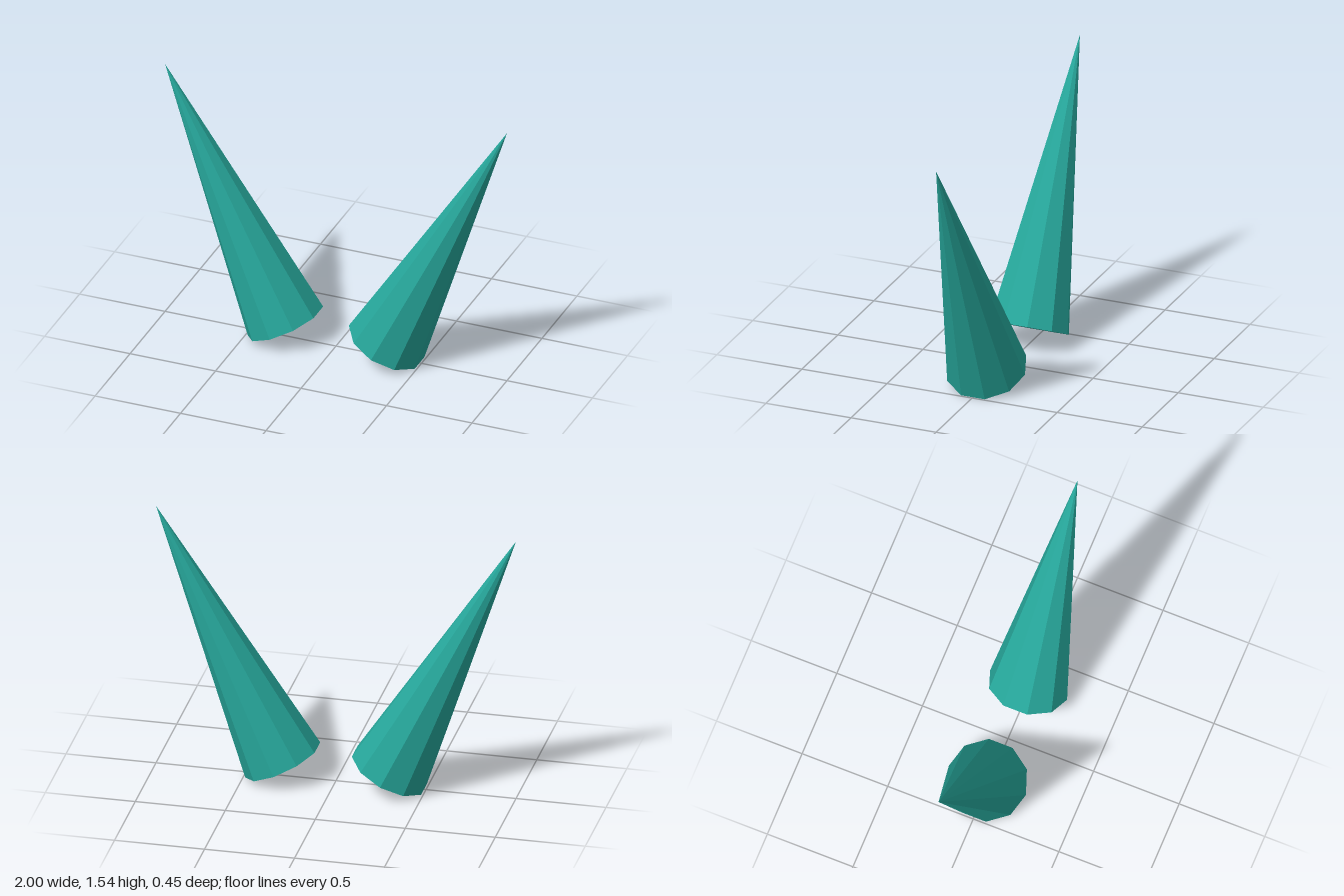
import * as THREE from 'three';

export function createModel() {
  const model = new THREE.Group();
  const material = new THREE.MeshStandardMaterial({ color: 0x26a69a, flatShading: true });

  const base = new THREE.Vector2(0.296, 0.098); // centre of the base disc
  const tip = new THREE.Vector2(1, 1.546);
  const axis = tip.clone().sub(base);
  const height = axis.length();
  const tilt = Math.atan2(axis.x, axis.y);

  // Ten-sided spike with its base at the origin
  const spike = new THREE.ConeGeometry(0.225, height, 10);
  spike.translate(0, height / 2, 0);

  // Mirrored pair leaning outwards
  for (const side of [1, -1]) {
    const cone = new THREE.Mesh(spike, material);
    cone.name = side > 0 ? 'leftSpike' : 'rightSpike';
    cone.position.set(side * base.x, base.y, 0);
    cone.rotation.z = -side * tilt;
    model.add(cone);
  }
  return model;
}
